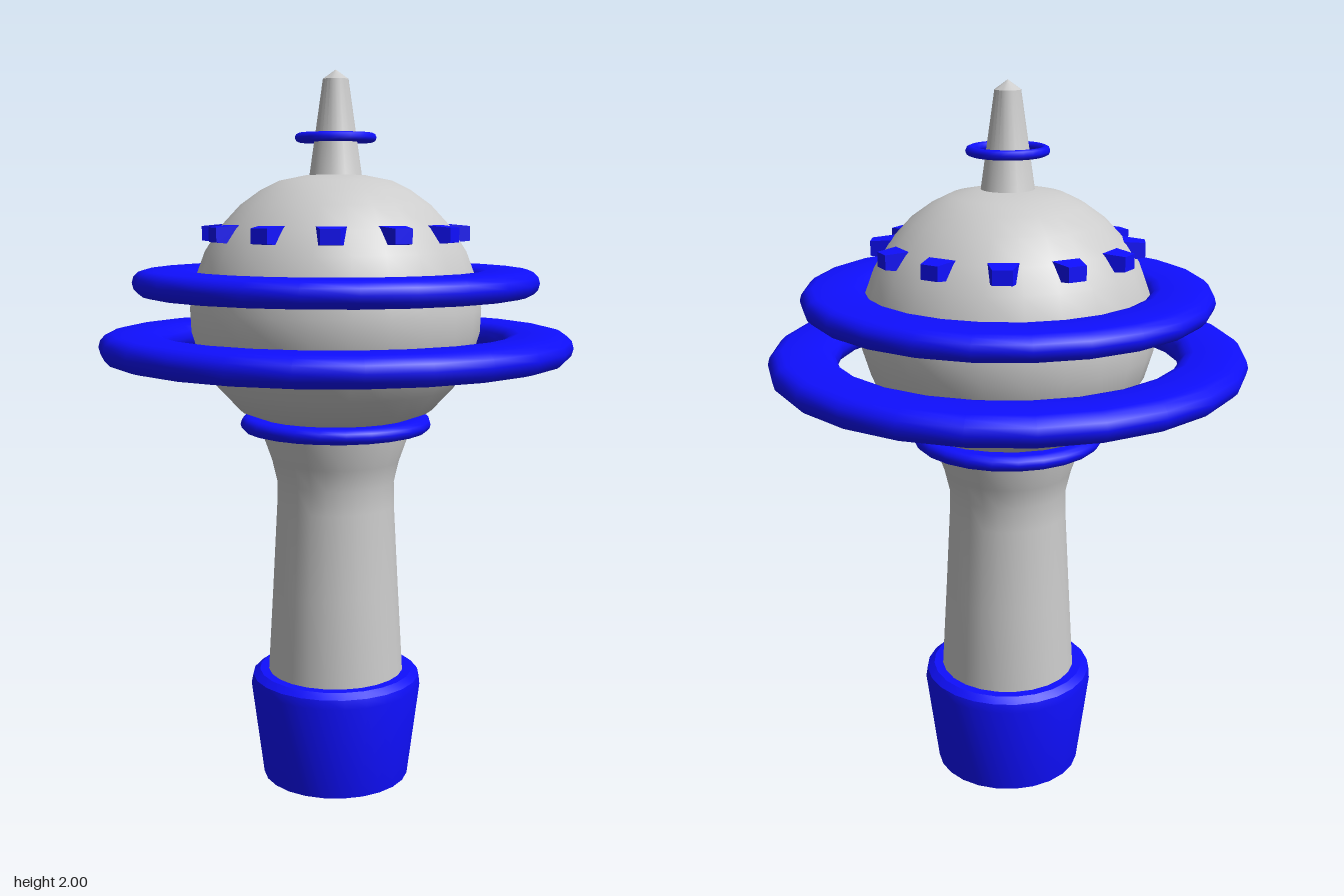
import * as THREE from 'three';
import { toCreasedNormals } from 'three/addons/utils/BufferGeometryUtils.js';

const SEGMENTS = 24;
const grey = new THREE.MeshStandardMaterial({ color: 0xcccccc });
const blue = new THREE.MeshStandardMaterial({ color: 0x0f0fff });

export function createModel() {
  const model = new THREE.Group();
  model.name = 'observationTower';

  const add = (name, geometry, material) => {
    const mesh = new THREE.Mesh(geometry, material);
    mesh.name = name;
    model.add(mesh);
    return mesh;
  };

  // Solid of revolution from [radius, height] pairs, bottom to top
  const turned = (name, profile, material, crease = 0.5) => {
    const points = profile.map(([r, y]) => new THREE.Vector2(r, y));
    add(name, toCreasedNormals(new THREE.LatheGeometry(points, SEGMENTS), crease), material);
  };

  // Flat ring with rounded inner and outer rims
  const flatRing = (name, inner, outer, y, half) => {
    const profile = [];
    const steps = 6;
    for (let i = 0; i <= steps; i++) {
      const a = -Math.PI / 2 + (Math.PI * i) / steps;
      profile.push([outer - half + half * Math.cos(a), y + half * Math.sin(a)]);
    }
    for (let i = 0; i <= steps; i++) {
      const a = Math.PI / 2 + (Math.PI * i) / steps;
      profile.push([inner + half + half * Math.cos(a), y + half * Math.sin(a)]);
    }
    profile.push(profile[0]);
    turned(name, profile, blue, 0.7);
  };

  // Flared base with a bevelled rim
  turned('base', [[0, 0], [0.21, 0], [0.245, 0.275], [0.24, 0.3], [0.22, 0.315], [0.18, 0.315]], blue);

  // Tapering column that flares out under the sphere
  turned('column', [
    [0.195, 0.3], [0.18, 0.56], [0.167, 0.8], [0.166, 0.87], [0.18, 0.93], [0.208, 1.01], [0.21, 1.06],
  ], grey, 0.8);

  // Slightly flattened sphere
  turned('sphere', [
    [0, 1.045], [0.2, 1.05], [0.27, 1.076], [0.33, 1.14], [0.376, 1.215], [0.4, 1.295], [0.403, 1.36],
    [0.39, 1.435], [0.36, 1.515], [0.318, 1.58], [0.262, 1.64], [0.206, 1.68], [0.155, 1.705],
    [0.08, 1.72], [0, 1.722],
  ], grey, 1);

  // Spire with a small pointed cap
  turned('spire', [[0.08, 1.7], [0.072, 1.72], [0.035, 1.975], [0, 2]], grey);

  // Rings
  flatRing('neckRing', 0.19, 0.268, 1.035, 0.021);
  flatRing('lowerRing', 0.468, 0.655, 1.255, 0.04);
  flatRing('upperRing', 0.38, 0.56, 1.43, 0.035);
  const halo = add('spireRing', new THREE.TorusGeometry(0.099, 0.013, 8, SEGMENTS), blue);
  halo.rotation.x = Math.PI / 2;
  halo.position.y = 1.82;

  // Windows: tapered blocks, narrower on the outer face
  const pane = new THREE.BoxGeometry(0.085, 0.052, 0.07);
  const corners = pane.attributes.position;
  for (let i = 0; i < corners.count; i++) {
    if (corners.getZ(i) > 0) corners.setXY(i, corners.getX(i) * 0.6, corners.getY(i) * 0.75);
  }
  pane.computeVertexNormals();
  for (let i = 0; i < 12; i++) {
    const angle = THREE.MathUtils.degToRad(7 + 30 * i);
    const pod = add('window' + (i + 1), pane, blue);
    pod.position.set(0.332 * Math.sin(angle), 1.563, 0.332 * Math.cos(angle));
    pod.rotation.y = angle;
  }

  return model;
}
